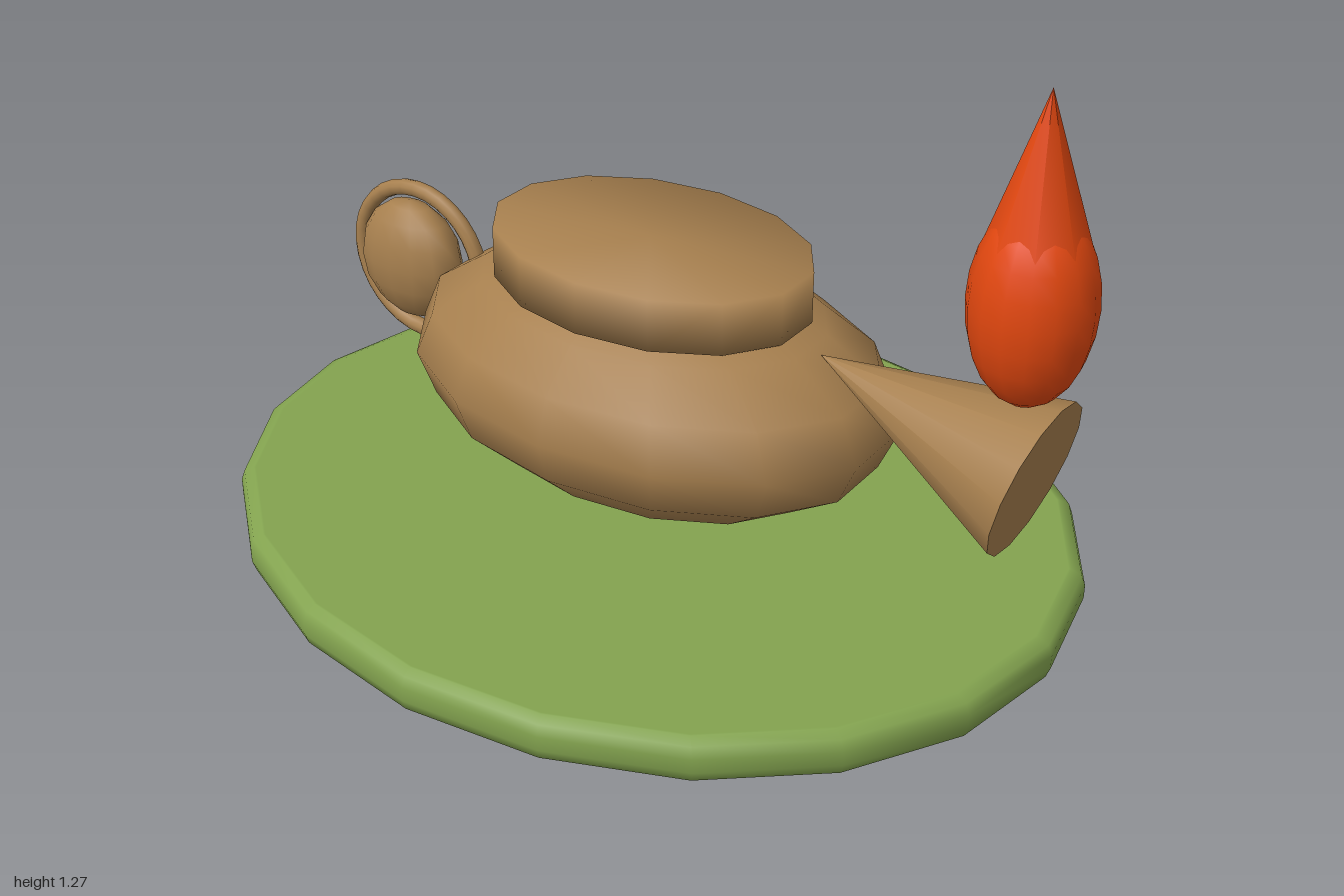
import * as THREE from 'three';
import { mergeVertices } from 'three/addons/utils/BufferGeometryUtils.js';

// Join all corners so the shading runs smoothly over the edges
function softened(geometry) {
  geometry.deleteAttribute('normal');
  geometry.deleteAttribute('uv');
  const merged = mergeVertices(geometry, 1e-4);
  merged.computeVertexNormals();
  return merged;
}

export function createModel() {
  const group = new THREE.Group();
  const material = (name, color) => {
    const m = new THREE.MeshStandardMaterial({ color });
    m.name = name;
    return m;
  };
  const clay = material('clay brown', 0xa67f4e);
  const green = material('leaf green', 0x83a34f);
  const flame = material('flame orange', 0xe2470f);

  const add = (name, geometry, mat, position, scale = [1, 1, 1]) => {
    const mesh = new THREE.Mesh(geometry, mat);
    mesh.name = name;
    mesh.position.set(...position);
    mesh.scale.set(...scale);
    group.add(mesh);
    return mesh;
  };
  const ball = () => new THREE.SphereGeometry(1, 14, 8, Math.PI / 2);

  // Oval base with a rounded rim
  const profile = [
    [0, 0], [0.955, 0], [0.96, 0], [0.984, 0.01], [0.993, 0.034],
    [0.993, 0.066], [0.984, 0.09], [0.96, 0.1], [0.955, 0.1], [0, 0.1],
  ].map(([x, y]) => new THREE.Vector2(x, y));
  add('base', new THREE.LatheGeometry(profile, 20), green, [-0.006, 0, 0], [1, 1, 0.845]);

  // Lamp body and neck
  add('body', ball(), clay, [-0.008, 0.4, 0], [0.59, 0.262, 0.397]);
  add('neck', softened(new THREE.CylinderGeometry(1, 1, 0.117, 14)), clay,
    [-0.008, 0.663, 0], [0.38, 1, 0.265]);

  // Spout: a cone with its tip in the body
  const spout = add('spout', new THREE.ConeGeometry(0.174, 0.505, 14, 1, false, Math.PI / 2), clay,
    [0.667, 0.517, 0]);
  spout.rotation.z = Math.atan2(0.49, 0.115);

  // Handle ring with a knob inside
  add('handleRing', new THREE.TorusGeometry(0.182, 0.019, 10, 32), clay, [-0.672, 0.469, 0]);
  add('handleKnob', ball(), clay, [-0.698, 0.468, 0], [0.142, 0.148, 0.081]);

  // Flame and its pointed tip
  add('flame', new THREE.SphereGeometry(1, 16, 12), flame, [0.872, 0.835, 0], [0.126, 0.215, 0.126]);
  add('flameTip', new THREE.ConeGeometry(0.104, 0.318, 8, 1, false, Math.PI / 8), flame,
    [0.872, 1.109, 0]);

  return group;
}
